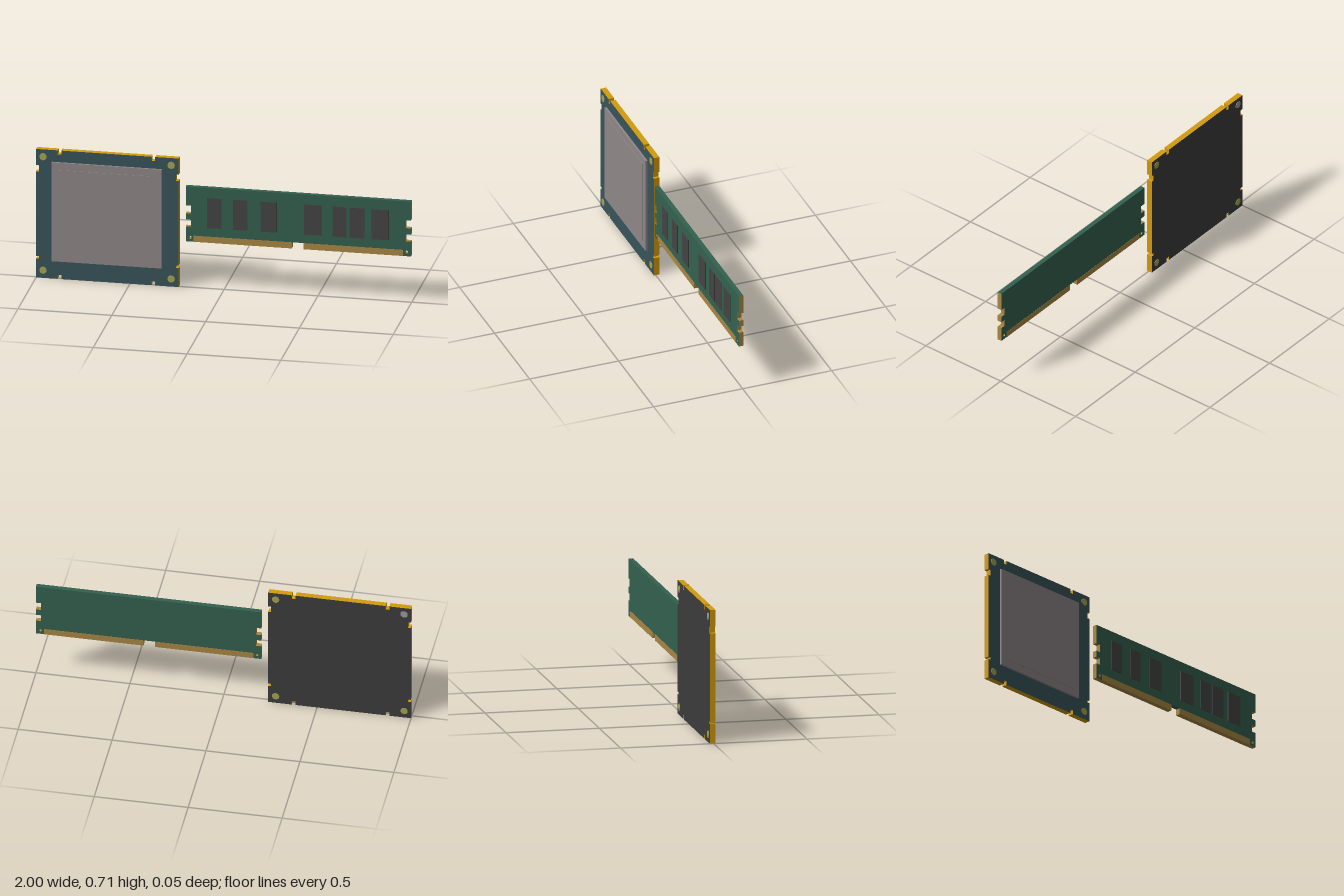
import * as THREE from 'three';

const mat = (name, color) => {
  const m = new THREE.MeshStandardMaterial({ color });
  m.name = name;
  return m;
};

export function createModel() {
  const teal = mat('teal board', 0x38545a);
  const orange = mat('orange edge', 0xd39c0c);
  const dark = mat('dark underside', 0x3c3c3c);
  const metal = mat('lid metal', 0x8f8788);
  const yellow = mat('yellow pad', 0xa5a552);
  const grey = mat('grey pad', 0x9c9c9c);
  const green = mat('green board', 0x33614f);
  const tan = mat('tan contacts', 0xa98844);
  const chipMat = mat('chip', 0x444444);

  const root = new THREE.Group();

  const box = (parent, name, material, x0, x1, y0, y1, z0, z1) => {
    const mesh = new THREE.Mesh(new THREE.BoxGeometry(x1 - x0, y1 - y0, z1 - z0), material);
    mesh.position.set((x0 + x1) / 2, (y0 + y1) / 2, (z0 + z1) / 2);
    mesh.name = name;
    parent.add(mesh);
  };

  // Extruded outline whose faces get a material picked by normal and position
  const board = (name, points, holes, z0, z1, materials, pick) => {
    const shape = new THREE.Shape(points.map(([x, y]) => new THREE.Vector2(x, y)));
    for (const [x, y, r] of holes) {
      shape.holes.push(new THREE.Path().absarc(x, y, r, 0, Math.PI * 2, true));
    }
    const geo = new THREE.ExtrudeGeometry(shape, { depth: z1 - z0, bevelEnabled: false, curveSegments: 5 });
    geo.translate(0, 0, z0);
    geo.clearGroups();
    const p = geo.attributes.position, n = geo.attributes.normal;
    for (let i = 0; i < p.count; i += 3) {
      const normal = new THREE.Vector3().fromBufferAttribute(n, i);
      geo.addGroup(i, 3, pick(normal, (p.getY(i) + p.getY(i + 1) + p.getY(i + 2)) / 3));
    }
    const mesh = new THREE.Mesh(geo, materials);
    mesh.name = name;
    return mesh;
  };

  // Processor: square board with small notches on every side
  const cpu = new THREE.Group();
  cpu.name = 'processor';
  root.add(cpu);
  const L = -1, R = -0.24, T = 0.715, d = 0.022;
  const xs = [[-0.885, -0.865], [-0.385, -0.365]];
  const ys = [[0.105, 0.12], [0.59, 0.625]];
  const outline = [[L, 0]];
  for (const [a, b] of xs) outline.push([a, 0], [a, d], [b, d], [b, 0]);
  outline.push([R, 0]);
  for (const [a, b] of ys) outline.push([R, a], [R - d * 0.7, a], [R - d * 0.7, b], [R, b]);
  outline.push([R, T]);
  for (const [a, b] of [...xs].reverse()) outline.push([b, T], [b, T - d], [a, T - d], [a, T]);
  outline.push([L, T]);
  for (const [a, b] of [...ys].reverse()) outline.push([L, b], [L + d * 0.7, b], [L + d * 0.7, a], [L, a]);
  cpu.add(board('processorBoard', outline, [], -0.021, 0.01, [teal, orange, dark],
    (n) => (n.z > 0.5 ? 0 : n.z < -0.5 ? 2 : 1)));

  // Metal lid with a slightly raised centre
  box(cpu, 'lid', metal, -0.915, -0.33, 0.1, 0.65, 0.01, 0.021);
  box(cpu, 'lidRaisedCentre', metal, -0.875, -0.37, 0.14, 0.61, 0.021, 0.024);

  // Round pads in the corners, on both faces
  for (const x of [-0.963, -0.28]) {
    for (const y of [0.043, 0.675]) {
      for (const [side, z] of [['front', 0.011], ['back', -0.022]]) {
        const odd = side === 'back' && x < -0.5 && y > 0.5;
        const pad = new THREE.Mesh(new THREE.CylinderGeometry(0.02, 0.02, 0.003, 10), odd ? grey : yellow);
        pad.rotation.x = Math.PI / 2;
        pad.position.set(x, y, z);
        pad.name = side + 'CornerPad';
        cpu.add(pad);
      }
    }
  }

  // Memory stick: long board with end notches and a key slot below
  const ram = new THREE.Group();
  ram.name = 'memoryStick';
  root.add(ram);
  const l = -0.2, r = 1, b = 0.262, t = 0.567, key = 0.296, e = 0.028;
  const slots = [[0.345, 0.383], [0.418, 0.462]];
  const edge = [[l, b], [0.365, b], [0.365, key], [0.427, key], [0.427, b], [r, b]];
  for (const [p, q] of slots) edge.push([r, p], [r - e, p], [r - e, q], [r, q]);
  edge.push([r, t], [l, t]);
  for (const [p, q] of [...slots].reverse()) edge.push([l, q], [l + e, q], [l + e, p], [l, p]);
  ram.add(board('memoryBoard', edge, [[-0.176, 0.285, 0.008], [0.976, 0.285, 0.008]], -0.004, 0.021, [green, tan],
    (n, y) => (Math.abs(n.z) > 0.5 || y > t - 0.01 || (Math.abs(n.y) > 0.5 && Math.abs(y - key) < 0.002) ? 0 : 1)));

  // Contact strips on both faces
  for (const [x0, x1] of [[-0.158, 0.365], [0.427, 0.957]]) {
    box(ram, 'frontContacts', tan, x0, x1, b, key, 0.021, 0.022);
    box(ram, 'backContacts', tan, x0, x1, b, key, -0.005, -0.004);
  }

  // Memory chips
  const chips = [[-0.087, -0.01], [0.053, 0.13], [0.198, 0.285], [0.432, 0.527],
    [0.583, 0.656], [0.672, 0.752], [0.79, 0.882]];
  for (const [x0, x1] of chips) box(ram, 'memoryChip', chipMat, x0, x1, 0.345, 0.512, 0.021, 0.025);

  return root;
}
